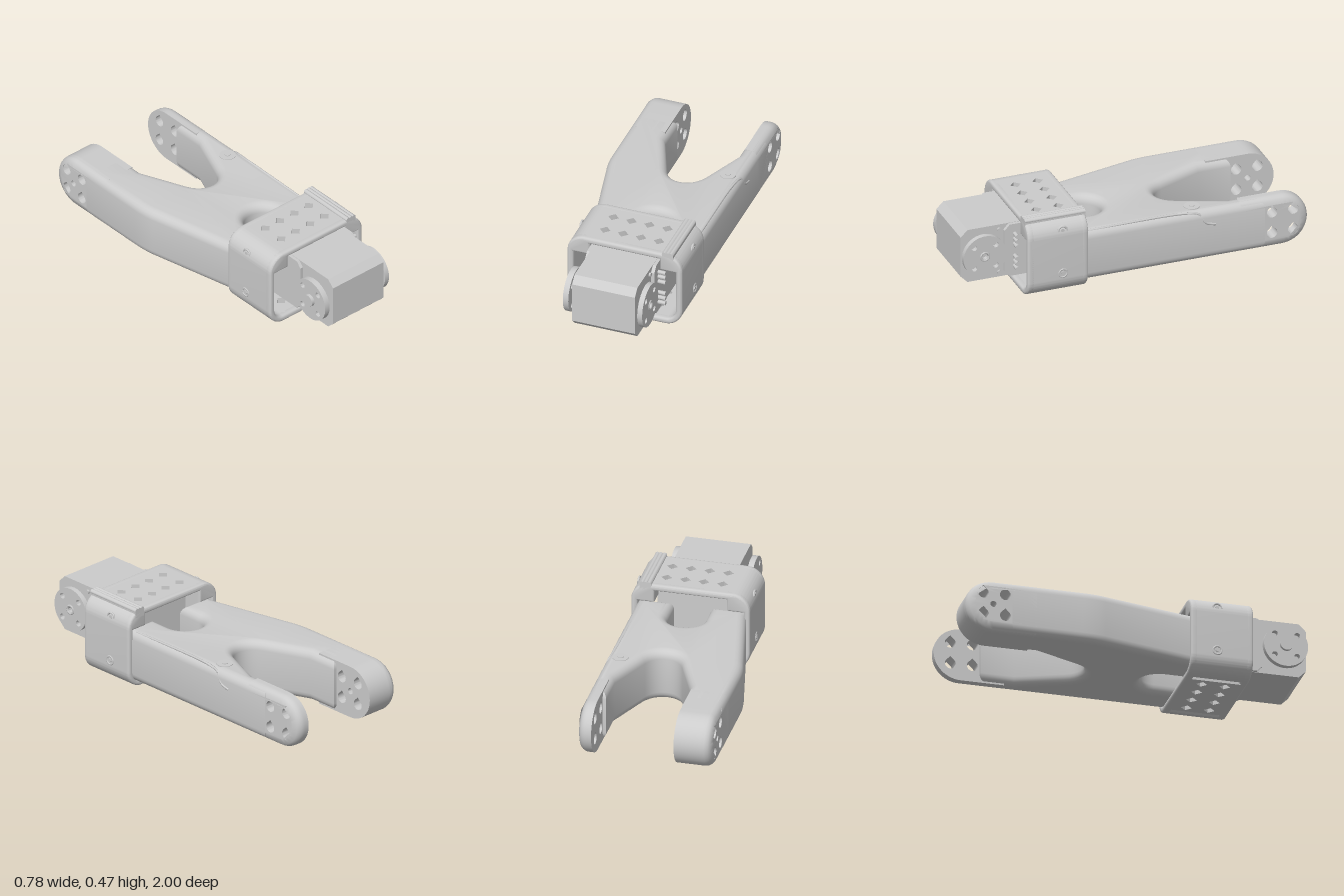
import * as THREE from 'three';
import { toCreasedNormals } from 'three/addons/utils/BufferGeometryUtils.js';

const MID = 0.055; // centre line of sleeve and servo
const material = new THREE.MeshStandardMaterial({ color: 0xcccccc });

export function createModel() {
  const model = new THREE.Group();

  const add = (name, geometry, crease = 0.6) => {
    const flat = geometry.index ? geometry.toNonIndexed() : geometry;
    const mesh = new THREE.Mesh(toCreasedNormals(flat, crease), material);
    mesh.name = name;
    model.add(mesh);
    return mesh;
  };
  const poly = (pts) => new THREE.Shape(pts.map(([x, y]) => new THREE.Vector2(x, y)));
  const extrude = (shape, depth, opts = {}) =>
    new THREE.ExtrudeGeometry(shape, { depth, bevelEnabled: false, curveSegments: 12, ...opts });
  const bevel = (size, segments) =>
    ({ bevelEnabled: true, bevelSize: size, bevelThickness: size, bevelOffset: -size, bevelSegments: segments });
  // shape in (z, y), swept along x
  const alongX = (shape, x0, x1, opts) =>
    extrude(shape, x1 - x0, opts).rotateY(-Math.PI / 2).translate(x1, 0, 0);
  // shape in (x, z), swept along y
  const alongY = (shape, y0, y1) => extrude(shape, y1 - y0).rotateX(Math.PI / 2).translate(0, y1, 0);
  const circle = (x, y, r) => new THREE.Path().absarc(x, y, r, 0, Math.PI * 2, true);
  const cylX = (x0, x1, y, z, r, n = 20) =>
    new THREE.CylinderGeometry(r, r, x1 - x0, n).rotateZ(Math.PI / 2).translate((x0 + x1) / 2, y, z);

  // Fork body: rounded slab with a crotch between the prongs and an arch at the base
  const fork = new THREE.Shape();
  fork.moveTo(-0.39, -0.74);
  fork.lineTo(-0.39, -0.34);
  fork.quadraticCurveTo(-0.39, -0.26, -0.375, -0.2);
  fork.lineTo(-0.26, 0.31);
  fork.lineTo(-0.26, 0.36);
  fork.lineTo(-0.05, 0.36);
  fork.lineTo(-0.05, 0.215);
  fork.absarc(MID, 0.215, 0.105, Math.PI, Math.PI * 2, false);
  fork.lineTo(0.16, 0.36);
  fork.lineTo(0.365, 0.36);
  fork.lineTo(0.365, -0.74);
  fork.lineTo(0.265, -0.74);
  fork.lineTo(0.265, -0.55);
  fork.lineTo(0.16, -0.29);
  fork.bezierCurveTo(0.115, -0.187, -0.005, -0.187, -0.05, -0.29);
  fork.lineTo(-0.16, -0.55);
  fork.lineTo(-0.16, -0.74);
  fork.closePath();
  add('forkBody', extrude(fork, 0.205, bevel(0.05, 5)).rotateX(Math.PI / 2).translate(0, 0.295, 0));

  // Prong tips: round-ended plates with drop-shaped holes, outer edge rounded over
  const R = 0.1525, CY = 0.1925, CZ = -0.8475;
  const prongTip = (name, x0, x1, outer, centreHole) => {
    const s = new THREE.Shape();
    s.moveTo(-0.6, CY - R);
    s.lineTo(-0.6, CY + R);
    s.lineTo(CZ, CY + R);
    s.absarc(CZ, CY, R, Math.PI / 2, Math.PI * 1.5, false);
    s.closePath();
    for (const z of [-0.905, -0.78]) for (const y of [0.26, 0.135]) {
      const hole = new THREE.Path();
      hole.absarc(z, y, 0.031, Math.PI * 0.75, Math.PI * 0.25, false);
      hole.lineTo(z, y + 0.044);
      hole.closePath();
      s.holes.push(hole);
    }
    if (centreHole) s.holes.push(circle(CZ, CY + 0.005, 0.018));
    const g = alongX(s, x0, x1, { steps: Math.round((x1 - x0) / 0.01) });
    const p = g.attributes.position, b = 0.05;
    for (let i = 0; i < p.count; i++) {
      const z = p.getZ(i), y = p.getY(i);
      const spineZ = Math.max(z, CZ);
      const d = Math.hypot(z - spineZ, y - CY);
      const t = b - Math.abs(outer - p.getX(i));
      if (d < 0.14 || t <= 0) continue;
      const k = (R - b + Math.sqrt(Math.max(0, b * b - t * t))) / d;
      p.setZ(i, spineZ + (z - spineZ) * k);
      p.setY(i, CY + (y - CY) * k);
    }
    add(name, g);
  };
  prongTip('rightProngTip', -0.39, -0.18, -0.39, true);
  prongTip('leftProngTip', 0.285, 0.365, 0.365, false);

  // Cable outlet and cable line on the left prong
  add('cableBoss', new THREE.CylinderGeometry(0.045, 0.045, 0.02, 24).translate(0.285, 0.338, -0.34));
  add('cableBossPin', new THREE.CylinderGeometry(0.016, 0.016, 0.02, 16).translate(0.285, 0.342, -0.34));
  const cable = new THREE.CatmullRomCurve3([
    [0.335, 0.335, 0.3], [0.342, 0.335, -0.28], [0.352, 0.32, -0.36],
    [0.362, 0.27, -0.39], [0.362, 0.25, -0.45],
  ].map((a) => new THREE.Vector3(...a)));
  add('cableLine', new THREE.TubeGeometry(cable, 32, 0.008, 8), 1);

  // Sleeve: two rounded rims joined by side channels and perforated plates
  const H = 0.455, W = 0.335, C = 0.1;
  const rim = new THREE.Shape();
  rim.moveTo(MID - W + C, 0);
  rim.absarc(MID + W - C, C, C, -Math.PI / 2, 0, false);
  rim.absarc(MID + W - C, H - C, C, 0, Math.PI / 2, false);
  rim.absarc(MID - W + C, H - C, C, Math.PI / 2, Math.PI, false);
  rim.absarc(MID - W + C, C, C, Math.PI, Math.PI * 1.5, false);
  const bay = new THREE.Path();
  bay.moveTo(MID - 0.235, 0.035);
  bay.absarc(MID + 0.235, 0.1, 0.065, -Math.PI / 2, 0, false);
  for (const [x, y] of [[0.3, 0.35], [0.205, 0.35], [0.205, 0.42], [-0.205, 0.42], [-0.205, 0.35], [-0.3, 0.35]])
    bay.lineTo(MID + x, y);
  bay.absarc(MID - 0.235, 0.1, 0.065, Math.PI, Math.PI * 1.5, false);
  rim.holes.push(bay);
  for (const [name, z] of [['sleeveFrontRim', 0.615], ['sleeveBackRim', 0.305]])
    add(name, extrude(rim, 0.021, bevel(0.012, 3)).translate(0, 0, z + 0.012));

  for (const side of [-1, 1]) {
    // Channel drawn for +x; the -x one is turned round the centre line
    const c = new THREE.Shape();
    c.moveTo(0.205, 0);
    c.absarc(W - C, C, C, -Math.PI / 2, 0, false);
    c.absarc(W - C, H - C, C, 0, Math.PI / 2, false);
    c.lineTo(0.205, H);
    c.lineTo(0.205, 0.35);
    c.lineTo(0.3, 0.35);
    c.absarc(0.235, 0.1, 0.065, 0, -Math.PI / 2, true);
    c.lineTo(0.205, 0.035);
    const g = extrude(c, 0.31).translate(0, 0, -0.155);
    if (side < 0) g.rotateY(Math.PI);
    add('sleeveSide', g.translate(MID, 0, 0.4825));
    // Screw seats on the flank
    for (const y of [0.39, 0.13]) {
      const x = MID + side * (y > 0.3 ? 0.325 : 0.333);
      add('screwSeat', new THREE.TorusGeometry(0.024, 0.006, 8, 20).rotateY(Math.PI / 2).translate(x, y, 0.455));
      add('screwHead', cylX(x - 0.006, x + 0.006, y, 0.455, 0.012, 6));
    }
  }
  for (const [name, y] of [['sleeveTopPlate', 0.42], ['sleeveBottomPlate', 0]]) {
    const plate = poly([[MID - 0.205, 0.33], [MID + 0.205, 0.33], [MID + 0.205, 0.635], [MID - 0.205, 0.635]]);
    for (let i = 0; i < 4; i++) for (const z of [0.415, 0.545]) {
      const x = -0.1 + i * 0.105, r = 0.031;
      plate.holes.push(poly([[x - r, z], [x, z + r], [x + r, z], [x, z - r]]));
    }
    add(name, alongY(plate, y, y + 0.035));
  }
  // Cable ribs on the top left edge
  for (const x of [0.288, 0.308, 0.327])
    add('cableRib', new THREE.CylinderGeometry(0.014, 0.014, 0.355, 16).rotateX(Math.PI / 2).translate(x, 0.457, 0.4825));
  add('cableRibBase', new THREE.BoxGeometry(0.064, 0.04, 0.355).translate(0.308, 0.436, 0.4825));

  // Servo: chamfered case, slightly wider at the rear
  const caseSide = poly([[0.42, 0.1], [0.96, 0.1], [1, 0.14], [1, 0.38], [0.96, 0.42], [0.42, 0.42]]);
  add('servoCase', alongX(caseSide, -0.122, 0.245), 0.2);
  const rearSide = poly([[0.41, 0.102], [0.72, 0.102], [0.75, 0.135], [0.75, 0.385], [0.72, 0.418], [0.41, 0.418]]);
  add('servoRearCase', alongX(rearSide, -0.14, 0.265), 0.2);
  for (const y of [0.39, 0.13]) add('caseScrew', cylX(0.24, 0.256, y, 0.775, 0.012, 12));

  // Servo horns with bolt holes, hubs and connector pins
  for (const [name, x0, x1] of [['leftHorn', 0.258, 0.287], ['rightHorn', -0.177, -0.145]]) {
    const disc = new THREE.Shape().absarc(0.873, 0.26, 0.125, 0, Math.PI * 2, false);
    for (const a of [-1, 1]) for (const b of [-1, 1])
      disc.holes.push(circle(0.873 + a * 0.063, 0.26 + b * 0.063, 0.017));
    disc.holes.push(circle(0.873, 0.26, 0.017));
    add(name, alongX(disc, x0, x1, { curveSegments: 32 }));
  }
  add('leftAxle', cylX(0.24, 0.262, 0.26, 0.873, 0.06));
  add('rightAxle', cylX(-0.15, -0.12, 0.26, 0.873, 0.055));
  add('rightHub', cylX(-0.195, -0.12, 0.26, 0.873, 0.036));
  add('leftHubRing', new THREE.TorusGeometry(0.024, 0.006, 8, 24).rotateY(Math.PI / 2).translate(0.287, 0.26, 0.873), 1);
  for (const y of [0.16, 0.192, 0.224, 0.296, 0.328, 0.358])
    add('connectorPin', cylX(0.25, 0.309, y, 0.69, 0.012, 12));

  return model;
}
